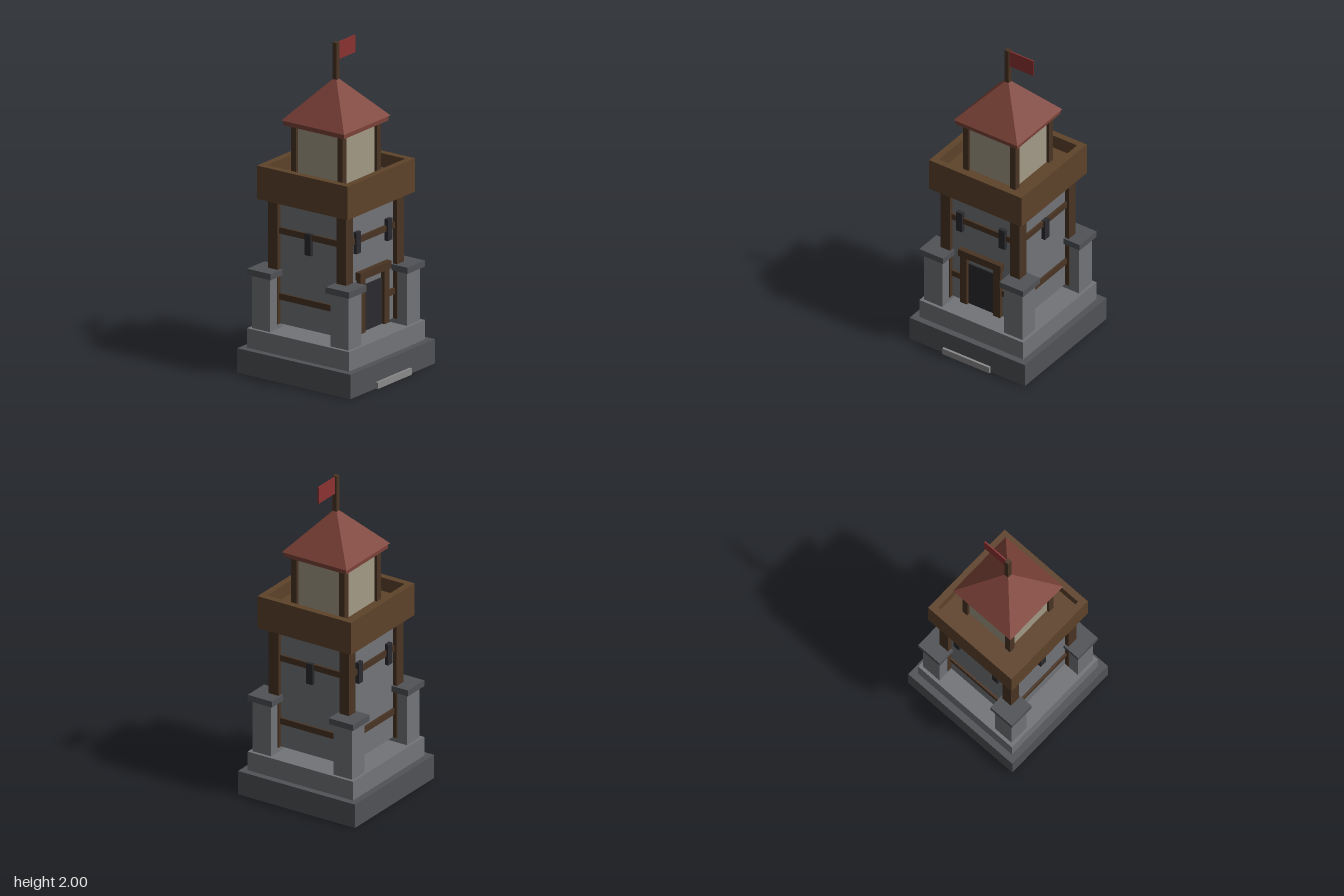
import * as THREE from 'three';

const mat = (color) => new THREE.MeshStandardMaterial({ color, flatShading: true });

export function createModel() {
  const model = new THREE.Group();
  model.name = 'watchtower';
  const tower = new THREE.Group();
  tower.name = 'tower';
  tower.position.z = -0.008;
  model.add(tower);

  const darkStone = mat(0x505256), stone = mat(0x727478), paleStone = mat(0x8a8a8a);
  const wood = mat(0x4a3424), planks = mat(0x5e432a), plaster = mat(0xa39a86);
  const iron = mat(0x2b2a2e), tiles = mat(0x7c4238), cloth = mat(0x8c3232);

  // Box given by its x, y and z ranges
  const box = (name, material, x0, x1, y0, y1, z0, z1, parent = tower) => {
    const mesh = new THREE.Mesh(new THREE.BoxGeometry(x1 - x0, y1 - y0, z1 - z0), material);
    mesh.position.set((x0 + x1) / 2, (y0 + y1) / 2, (z0 + z1) / 2);
    mesh.name = name;
    parent.add(mesh);
    return mesh;
  };
  // Square block centred on the tower axis
  const block = (name, material, r, y0, y1) => box(name, material, -r, r, y0, y1, -r, r);
  // Four copies, one at each corner, spanning a..b outward from the axis
  const corners = (name, material, a, b, y0, y1) => {
    for (const sx of [-1, 1]) for (const sz of [-1, 1]) {
      const m = (a + b) / 2, h = (b - a) / 2;
      box(name, material, sx * m - h, sx * m + h, y0, y1, sz * m - h, sz * m + h);
    }
  };

  // Stepped base and doorstep
  block('base', darkStone, 0.411, 0, 0.15);
  block('plinth', stone, 0.37, 0.15, 0.27);
  box('doorstep', paleStone, -0.167, 0.167, 0, 0.04, 0.38, 0.427);

  // Stone piers with caps
  corners('pier', stone, 0.22, 0.35, 0.27, 0.597);
  corners('pierCap', darkStone, 0.2, 0.37, 0.597, 0.635);

  // Tower body with timber corner posts
  block('body', stone, 0.255, 0.3, 1.06);
  corners('cornerPost', wood, 0.214, 0.282, 0.3, 1.06);

  // Beams and slits on each side; even sides are the front and back
  for (let i = 0; i < 4; i++) {
    const side = new THREE.Group();
    side.name = 'wallSide';
    side.rotation.y = (i * Math.PI) / 2;
    tower.add(side);
    box('upperBeam', wood, -0.214, 0.214, 0.855, 0.893, 0.25, 0.268, side);
    if (i === 0) {
      for (const s of [-1, 1]) box('lowerBeam', wood, s * 0.177 - 0.037, s * 0.177 + 0.037, 0.45, 0.488, 0.25, 0.268, side);
    } else {
      box('lowerBeam', wood, -0.214, 0.214, 0.45, 0.488, 0.25, 0.268, side);
    }
    const even = i % 2 === 0;
    for (const x of even ? [-0.152, 0.152] : [0]) {
      const y = even ? 0.865 : 0.83;
      box('arrowSlit', iron, x - 0.022, x + 0.022, y - 0.066, y + 0.066, 0.25, 0.279, side);
    }
  }

  // Door and frame
  box('door', iron, -0.097, 0.097, 0.3, 0.582, 0.25, 0.264);
  for (const s of [-1, 1]) box('doorJamb', wood, s * 0.118 - 0.024, s * 0.118 + 0.024, 0.3, 0.63, 0.25, 0.283);
  box('doorLintel', wood, -0.152, 0.152, 0.63, 0.677, 0.25, 0.289);

  // Lookout platform: deck and parapet
  block('platformDeck', planks, 0.288, 1.06, 1.18);
  const square = (Path, r) => new Path([[-r, -r], [r, -r], [r, r], [-r, r]].map(([x, y]) => new THREE.Vector2(x, y)));
  const rim = square(THREE.Shape, 0.329);
  rim.holes.push(square(THREE.Path, 0.288));
  const parapet = new THREE.Mesh(new THREE.ExtrudeGeometry(rim, { depth: 0.205, bevelEnabled: false }), planks);
  parapet.rotation.x = -Math.PI / 2;
  parapet.position.y = 1.06;
  parapet.name = 'parapet';
  tower.add(parapet);

  // Turret room
  block('turretWall', plaster, 0.17, 1.18, 1.505);
  corners('turretPost', wood, 0.149, 0.188, 1.18, 1.505);

  // Pyramid roof
  block('eaves', tiles, 0.219, 1.505, 1.54);
  const roof = new THREE.Mesh(new THREE.ConeGeometry(0.227 * Math.SQRT2, 0.255, 4), tiles);
  roof.rotation.y = Math.PI / 4;
  roof.position.y = 1.6625;
  roof.name = 'roof';
  tower.add(roof);

  // Flag
  block('flagpole', wood, 0.014, 1.76, 2);
  box('flag', cloth, 0.014, 0.184, 1.89, 1.995, -0.004, 0.004);

  return model;
}
